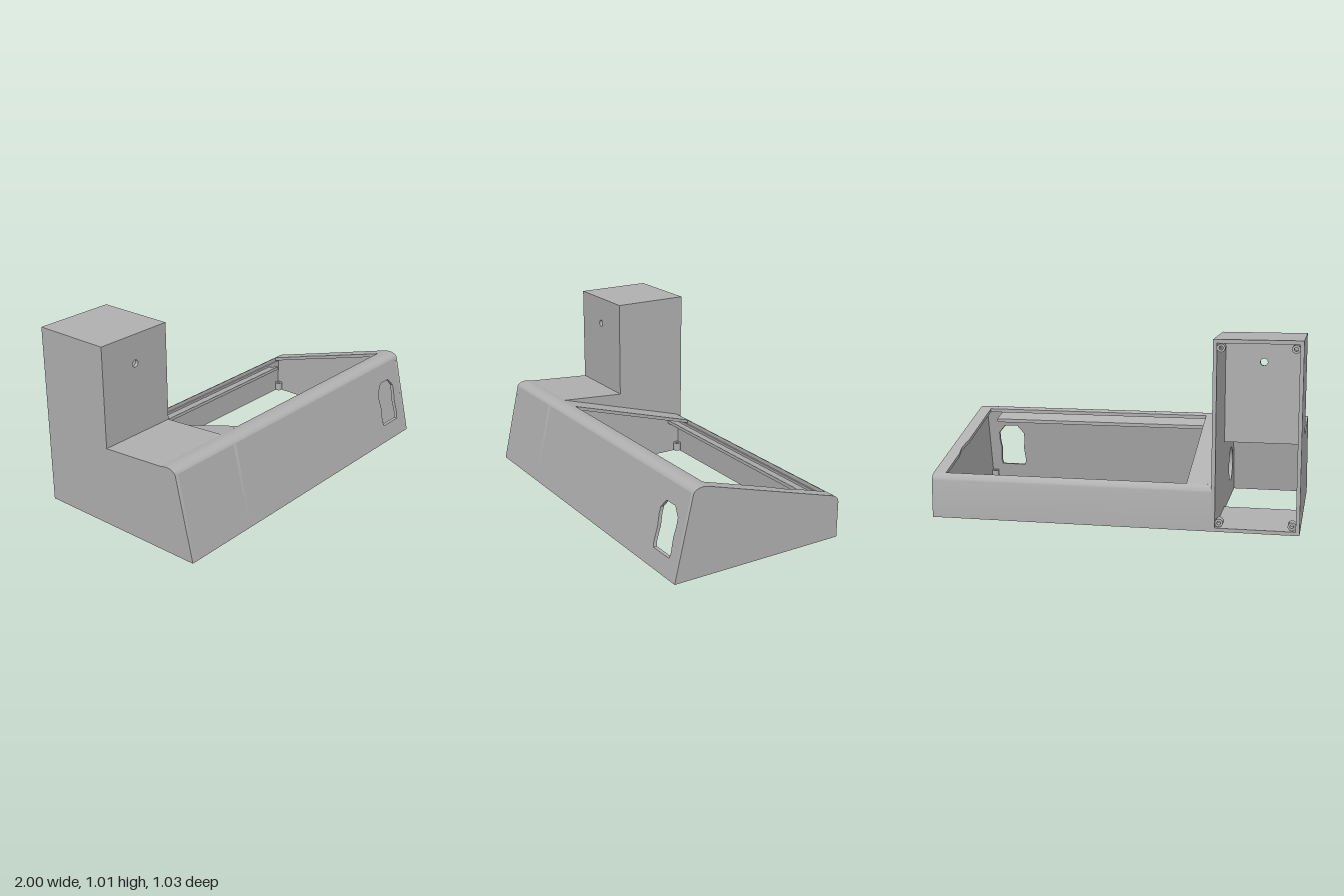
import * as THREE from 'three';
import { toCreasedNormals } from 'three/addons/utils/BufferGeometryUtils.js';

const T = 0.02;                                   // wall thickness
const deckY = z => 0.386 + 0.2937 * z;            // sloping main deck
const shelfY = z => 0.4554 + 0.071 * z;           // shallow deck before the tower
const polygon = pts => new THREE.Shape(pts.map(p => new THREE.Vector2(...p)));
const circle = (x, y, r) => new THREE.Path().absarc(x, y, r, 0, Math.PI * 2, true);

export function createModel() {
  const group = new THREE.Group();
  const grey = new THREE.MeshStandardMaterial({ color: 0xb0b0b0 });
  grey.name = 'plain grey';

  const add = (name, geo) => {
    const mesh = new THREE.Mesh(toCreasedNormals(geo, 0.5), grey);
    mesh.name = name;
    group.add(mesh);
    return mesh;
  };
  const extrude = (shape, depth) =>
    new THREE.ExtrudeGeometry(shape, { depth, bevelEnabled: false, curveSegments: 10 });
  // Profile drawn in (z, y), swept along x
  const sweep = (name, shape, x0, x1) =>
    add(name, extrude(shape, x1 - x0).rotateY(-Math.PI / 2).translate(x1, 0, 0));
  const box = (name, x0, x1, y0, y1, z0, z1) =>
    add(name, new THREE.BoxGeometry(x1 - x0, y1 - y0, z1 - z0)
      .translate((x0 + x1) / 2, (y0 + y1) / 2, (z0 + z1) / 2));
  // Plan outline in (x, -z), lifted onto a sloping surface
  const slopedPlate = (name, pts, surface, drop = 0) => {
    const geo = extrude(polygon(pts.map(([x, z]) => [x, -z])), T).rotateX(-Math.PI / 2);
    const p = geo.attributes.position;
    for (let i = 0; i < p.count; i++) p.setY(i, p.getY(i) - T - drop + surface(p.getZ(i)));
    geo.computeVertexNormals();
    return add(name, geo);
  };
  const rect = (x0, x1, z0, z1) => [[x0, z0], [x1, z0], [x1, z1], [x0, z1]];

  // Rounded nose and rear corner curves
  const nose = new THREE.CubicBezierCurve(
    new THREE.Vector2(0.41, 0.46), new THREE.Vector2(0.4, 0.482),
    new THREE.Vector2(0.36, 0.494), new THREE.Vector2(0.31, 0.477)).getPoints(10).map(v => [v.x, v.y]);
  const rear = new THREE.CubicBezierCurve(
    new THREE.Vector2(-0.48, 0.245), new THREE.Vector2(-0.5, 0.239),
    new THREE.Vector2(-0.515, 0.222), new THREE.Vector2(-0.515, 0.2)).getPoints(8).map(v => [v.x, v.y]);

  // End wall, outer wall beneath the tower, and partition with cable hole
  const front = [[0.515, 0], ...nose];
  const towerSide = [...front, [-0.07, 0.45], [-0.07, 1.01], [-0.515, 1.01], [-0.515, 0]];
  sweep('endWall', polygon([...front, ...rear, [-0.515, 0]]), 1 - T, 1);
  sweep('towerOuterWall', polygon(towerSide), -1, -1 + T);
  const partition = polygon(towerSide);
  partition.holes.push(circle(0.28, 0.2, 0.1));
  sweep('partition', partition, -0.54 - T, -0.54);

  // Leaning front panel with the port window
  const panel = polygon([[-1, 0], [1, 0], [1, 0.46], [-1, 0.46]]);
  panel.holes.push(new THREE.Path([
    [0.765, 0.1], [0.757, 0.13], [0.764, 0.21], [0.755, 0.27], [0.757, 0.31], [0.795, 0.357],
    [0.875, 0.357], [0.915, 0.31], [0.917, 0.27], [0.91, 0.21], [0.917, 0.13], [0.91, 0.1],
  ].map(p => new THREE.Vector2(...p))));
  const frontGeo = extrude(panel, T).translate(0, 0, 0.515 - T);
  const fp = frontGeo.attributes.position;
  for (let i = 0; i < fp.count; i++) fp.setZ(i, fp.getZ(i) - 0.2283 * fp.getY(i));
  frontGeo.computeVertexNormals();
  add('frontPanel', frontGeo);

  // Rounded front rim and rear wall
  sweep('frontRim', polygon([...nose, [0.31, 0.457], [0.36, 0.466], [0.39, 0.455]]), -1, 1);
  sweep('rearWall', polygon([...rear, [-0.515, 0], [-0.515 + T, 0], [-0.515 + T, 0.2], [-0.48, 0.225]]),
    -0.54, 1);

  // Deck borders beside the large opening
  slopedPlate('deckInnerBorder', rect(-0.54, -0.405, -0.48, 0.312), deckY);
  slopedPlate('deckOuterBorder', [[1, -0.48], [1, 0.312], [0.93, 0.312], [0.93, -0.1], [0.938, -0.16],
    [0.94, -0.2], [0.93, -0.26], [0.93, -0.48]], deckY);
  slopedPlate('towerShelf', rect(-1, -0.54, -0.07, 0.312), shelfY);

  // Panel support ledges below the deck
  slopedPlate('rearLedge', rect(-0.54, 0.88, -0.5, -0.42), deckY, 0.05);
  slopedPlate('frontLedge', rect(-0.54, 0.88, 0.285, 0.39), deckY, 0.05);

  // Tower: front with a pinhole, roof, floor and inner lips, open at the back
  const face = polygon([[-1, 0.43], [-0.54, 0.43], [-0.54, 1.01], [-1, 1.01]]);
  face.holes.push(circle(-0.77, 0.85, 0.02));
  add('towerFront', extrude(face, T).translate(0, 0, -0.07 - T));
  box('towerRoof', -1, -0.54, 1.01 - T, 1.01, -0.515, -0.07);
  box('towerFloor', -1, -0.54, 0, T, -0.515, -0.05);
  box('towerLip', -0.98, -0.56, 0.4, 0.435, -0.09, -0.07);

  // Screw bosses: back of the tower and underside of the case
  const boss = () => {
    const shape = new THREE.Shape().absarc(0, 0, 0.022, 0, Math.PI * 2);
    shape.holes.push(circle(0, 0, 0.01));
    return extrude(shape, 0.05);
  };
  for (const x of [-0.96, -0.58])
    for (const y of [0.045, 0.965]) add('towerBoss', boss().translate(x, y, -0.505));
  for (const x of [-0.518, 0.96])
    for (const z of [-0.475, -0.03, 0.465])
      add('caseBoss', boss().rotateX(-Math.PI / 2).translate(x, 0.008, z));

  return group;
}
